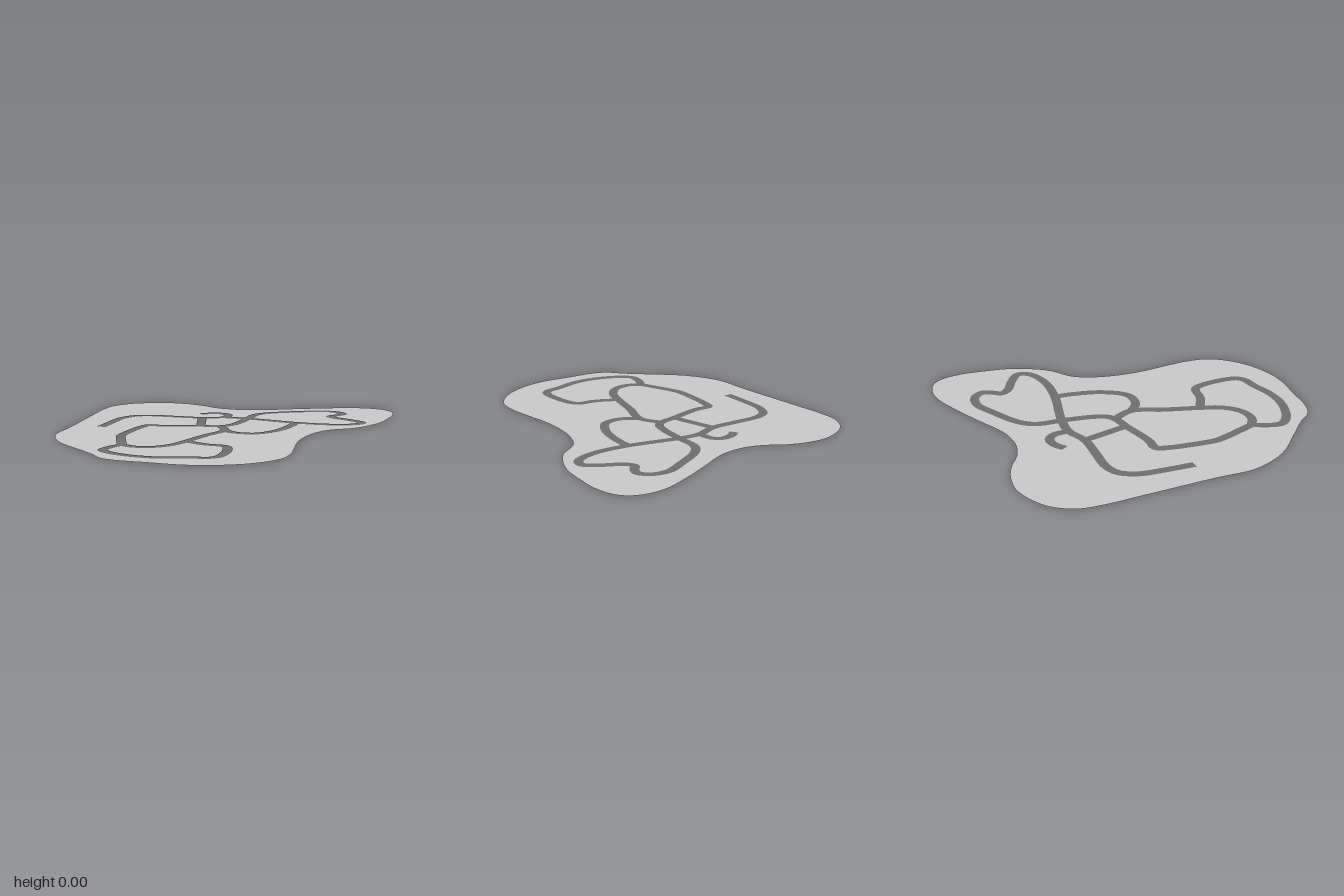
import * as THREE from 'three';

const GAP = 0.0015;       // height between ground sheet and road sheets
const ROAD_WIDTH = 0.05;

// Coordinates are [x, z] in hundredths of a unit.
const OUTLINE = [
  [-32, -98], [-16, -95], [-5, -87], [2, -78], [7, -68], [14, -60], [22, -55], [31, -52], [49, -50],
  [67, -47.5], [83, -44], [93, -38.5], [99, -31], [100, -23], [96, -12], [89, -2], [79, 10], [68, 18],
  [58, 22.5], [43, 24], [33, 30], [23.5, 40], [15.5, 52], [8.5, 67], [2, 80], [-6, 90], [-16, 95],
  [-29, 97], [-45, 94.5], [-57, 89], [-69, 80], [-82, 70.5], [-88, 63], [-90, 52], [-94.5, 36],
  [-99, 20], [-100, 7], [-97, -9], [-87, -26], [-73, -52], [-65, -67], [-58, -80], [-50, -91], [-41, -96.3],
];

const ROADS = {
  northRoad: [
    [-70.5, -22], [-62, -35], [-53.5, -46.5], [-44.5, -51.5], [-36, -50], [-23.5, -42], [-10.5, -34],
    [2.5, -31], [13, -23.5], [34, -3], [47, 6.5], [56.5, 10.5], [64.5, 11], [69, 7], [66, -2],
    [60.5, -12], [60.5, -17.5], [66, -20], [69.5, -23], [69, -29.5], [62, -36], [48.5, -38],
    [30, -38.5], [21.5, -35], [13, -23.5],
  ],
  centreRoad: [
    [13, -23.5], [3, -11], [-3, -6], [-8.5, -5], [-18.5, -8.5], [-37, -14.5], [-45, -19],
    [-50, -15], [-65, 5.5], [-66.5, 9.5], [-71, 32.5],
  ],
  southLoop: [
    [-71, 32.5], [-78, 37], [-83, 43.5], [-81, 51.5], [-71.5, 63.5], [-61, 70.5], [-46.5, 75],
    [-38, 78], [-33, 76], [-23.5, 59], [-23, 51.5], [-31, 44], [-38, 33],
  ],
  innerRoad: [
    [-71, 32.5], [-66.5, 39.5], [-58, 43], [-47.5, 40.5], [-38, 33], [-24, 20], [-10, 8], [-8.5, -5],
  ],
  eastLoop: [[-10, 8], [-6.5, 17], [3, 22.5], [16.5, 17], [28, 5.5], [34, -3]],
  linkRoad: [[-18.5, -8.5], [-10.5, -34]],
  hookRoad: [[2.5, -31], [6.2, -39], [4.5, -44.5], [-1, -47.2], [-7.5, -47]],
};

const toCurve = (points, closed = false) => new THREE.CatmullRomCurve3(
  points.map(([x, z]) => new THREE.Vector3(x / 100, 0, z / 100)), closed, 'centripetal');

// Flat strip of constant width following a path
function ribbon(points) {
  const curve = toCurve(points);
  const steps = points.length * 8;
  const positions = [], normals = [], indices = [];
  for (let i = 0; i <= steps; i++) {
    const p = curve.getPoint(i / steps);
    const t = curve.getTangent(i / steps).multiplyScalar(ROAD_WIDTH / 2);
    positions.push(p.x + t.z, 0, p.z - t.x, p.x - t.z, 0, p.z + t.x);
    normals.push(0, 1, 0, 0, 1, 0);
    if (i < steps) {
      const a = i * 2;
      indices.push(a, a + 1, a + 2, a + 1, a + 3, a + 2);
    }
  }
  const geometry = new THREE.BufferGeometry();
  geometry.setAttribute('position', new THREE.Float32BufferAttribute(positions, 3));
  geometry.setAttribute('normal', new THREE.Float32BufferAttribute(normals, 3));
  geometry.setIndex(indices);
  return geometry;
}

export function createModel() {
  const model = new THREE.Group();
  model.name = 'islandMap';
  const groundMaterial = new THREE.MeshStandardMaterial({ color: 0xcccccc, side: THREE.DoubleSide });
  const roadMaterial = new THREE.MeshStandardMaterial({ color: 0x707070, side: THREE.DoubleSide });

  // Island sheet
  const shape = new THREE.Shape(
    toCurve(OUTLINE, true).getPoints(OUTLINE.length * 5).slice(0, -1)
      .map((p) => new THREE.Vector2(p.x, -p.z)));
  const ground = new THREE.Mesh(new THREE.ShapeGeometry(shape).rotateX(-Math.PI / 2), groundMaterial);
  ground.name = 'ground';
  ground.position.y = GAP;
  model.add(ground);

  // Road network, showing on the upper and lower faces
  for (const [name, points] of Object.entries(ROADS)) {
    const road = new THREE.Group();
    road.name = name;
    const geometry = ribbon(points);
    for (const [side, y] of [['Top', 2 * GAP], ['Underside', 0]]) {
      const strip = new THREE.Mesh(geometry, roadMaterial);
      strip.name = name + side;
      strip.position.y = y;
      road.add(strip);
    }
    model.add(road);
  }
  return model;
}
